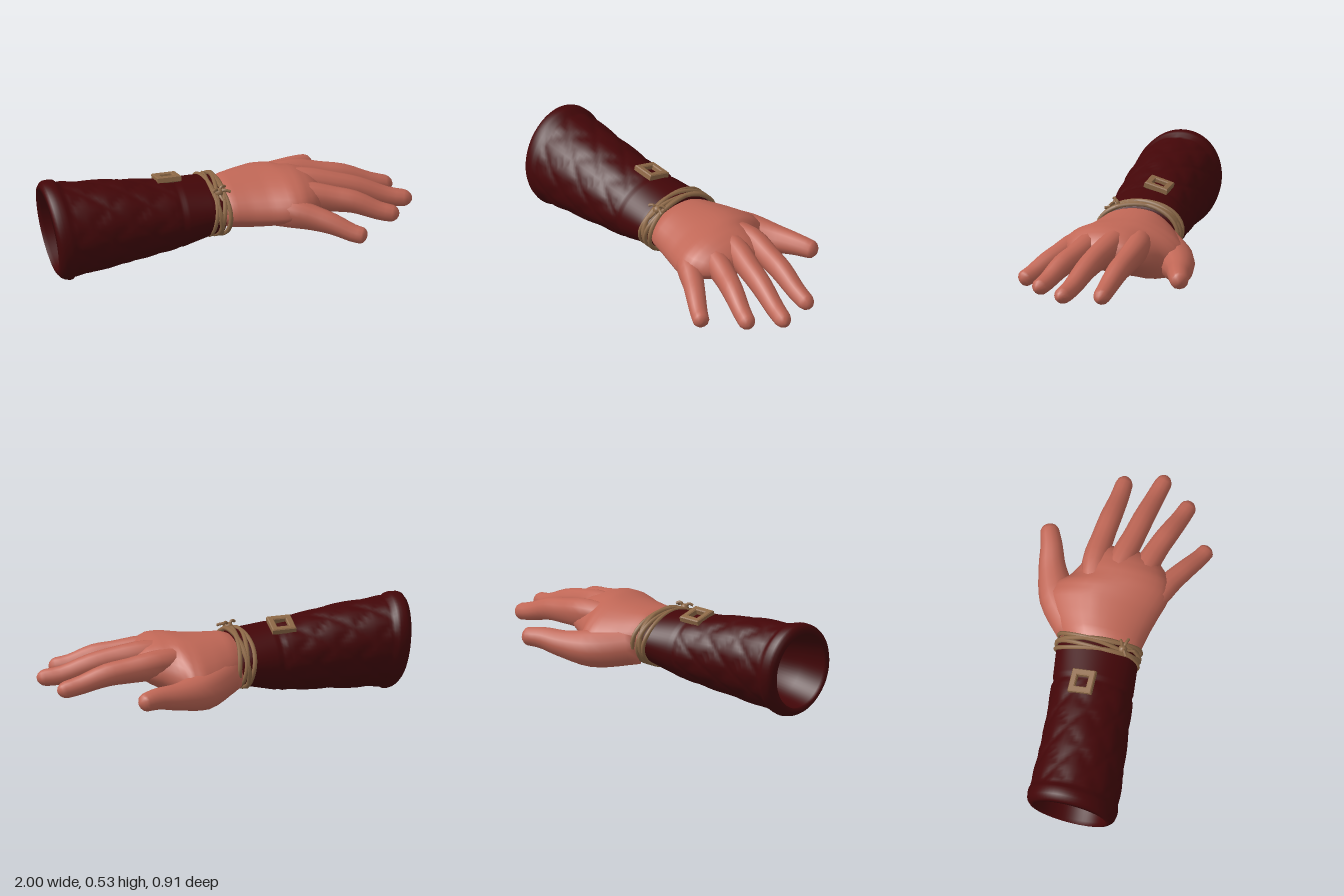
import * as THREE from 'three';

const TAU = Math.PI * 2;
const V = (x, y, z) => new THREE.Vector3(x, y, z);

// Skin rings of points into a closed, smooth surface
function loft(rings) {
  const n = rings[0].length, pos = [], idx = [];
  rings.forEach(r => r.forEach(p => pos.push(p.x, p.y, p.z)));
  for (let i = 0; i < rings.length - 1; i++) {
    for (let j = 0; j < n; j++) {
      const a = i * n + j, b = i * n + (j + 1) % n;
      idx.push(a, a + n, b, b, a + n, b + n);
    }
  }
  [0, rings.length - 1].forEach((ri, end) => {
    const c = V(0, 0, 0);
    rings[ri].forEach(p => c.addScaledVector(p, 1 / n));
    const ci = pos.length / 3;
    pos.push(c.x, c.y, c.z);
    for (let j = 0; j < n; j++) {
      const a = ri * n + j, b = ri * n + (j + 1) % n;
      idx.push(ci, end ? b : a, end ? a : b);
    }
  });
  const g = new THREE.BufferGeometry();
  g.setAttribute('position', new THREE.Float32BufferAttribute(pos, 3));
  g.setIndex(idx);
  g.computeVertexNormals();
  return g;
}

// Linear lookup in rows of [x, yMin, yMax, zMin, zMax]
function sample(rows, x) {
  let i = 0;
  while (i < rows.length - 2 && x > rows[i + 1][0]) i++;
  const a = rows[i], b = rows[i + 1];
  const t = THREE.MathUtils.clamp((x - a[0]) / (b[0] - a[0]), 0, 1);
  return a.map((v, k) => v + (b[k] - v) * t);
}

// Elliptical cross-section filling the given extents
function section([x, y0, y1, z0, z1], n, scale = () => 1) {
  return Array.from({ length: n }, (_, j) => {
    const t = j / n * TAU, k = scale(t);
    return V(x, (y0 + y1) / 2 + (y1 - y0) / 2 * Math.sin(t) * k,
      (z0 + z1) / 2 + (z1 - z0) / 2 * Math.cos(t) * k);
  });
}

// Tapered, round-tipped finger through points [x, y, z, radius], fleshier under its root
function fingerGeometry(pts, flesh) {
  const path = new THREE.CatmullRomCurve3(pts.map(p => V(p[0], p[1], p[2])));
  const radius = new THREE.CatmullRomCurve3(pts.map(p => V(p[3], 0, 0)));
  const us = [];
  for (let i = 0; i <= 14; i++) us.push(i / 14 * 0.93);
  us.push(0.96, 0.985, 0.998);
  return loft(us.map(u => {
    const c = path.getPoint(u), T = path.getTangent(u);
    const side = T.clone().cross(V(0, 1, 0)).normalize();
    const up = side.clone().cross(T);
    const tip = u > 0.92 ? Math.sqrt(1 - ((u - 0.92) / 0.08) ** 2) : 1;
    const r = radius.getPoint(u).x * tip;
    const under = 1 + flesh * Math.max(0, 0.75 - u);
    return Array.from({ length: 12 }, (_, j) => {
      const t = j / 12 * TAU, s = Math.sin(t);
      return c.clone().addScaledVector(side, Math.cos(t) * r).addScaledVector(up, s * r * (s < 0 ? under : 1));
    });
  }));
}

const SLEEVE = [
  [-0.97, 0.035, 0.505, -0.155, 0.275], [-0.95, 0.01, 0.53, -0.175, 0.295],
  [-0.9, 0, 0.532, -0.182, 0.302], [-0.88, 0.02, 0.512, -0.176, 0.296],
  [-0.75, 0.03, 0.50, -0.178, 0.288], [-0.6, 0.045, 0.488, -0.178, 0.272],
  [-0.4, 0.07, 0.458, -0.19, 0.25], [-0.27, 0.085, 0.445, -0.20, 0.235],
  [-0.1, 0.135, 0.43, -0.22, 0.22], [-0.04, 0.145, 0.42, -0.215, 0.212],
];

const PALM = [
  [-0.1, 0.2, 0.37, -0.16, 0.16], [-0.045, 0.165, 0.4, -0.195, 0.19],
  [0, 0.142, 0.42, -0.23, 0.215],
  [0.1, 0.125, 0.428, -0.30, 0.235], [0.2, 0.12, 0.435, -0.355, 0.262],
  [0.27, 0.127, 0.44, -0.33, 0.285], [0.32, 0.14, 0.44, -0.25, 0.295],
  [0.38, 0.165, 0.435, -0.21, 0.285], [0.44, 0.2, 0.415, -0.185, 0.245],
  [0.485, 0.235, 0.385, -0.165, 0.2], [0.51, 0.27, 0.355, -0.13, 0.15],
];

const FINGERS = {
  thumb: [[0.03, 0.25, -0.13, 0.11], [0.2, 0.222, -0.275, 0.104], [0.36, 0.23, -0.35, 0.073],
    [0.48, 0.245, -0.383, 0.058], [0.59, 0.242, -0.424, 0.046]],
  indexFinger: [[0.22, 0.345, -0.09, 0.06], [0.4, 0.35, -0.13, 0.067], [0.56, 0.326, -0.122, 0.06],
    [0.68, 0.305, -0.11, 0.058], [0.82, 0.255, -0.095, 0.05], [0.945, 0.225, -0.088, 0.044]],
  middleFinger: [[0.22, 0.35, -0.01, 0.06], [0.42, 0.362, 0, 0.067], [0.6, 0.335, 0.038, 0.06],
    [0.72, 0.305, 0.06, 0.057], [0.87, 0.25, 0.09, 0.05], [0.998, 0.233, 0.12, 0.044]],
  ringFinger: [[0.2, 0.34, 0.07, 0.06], [0.4, 0.342, 0.125, 0.067], [0.56, 0.318, 0.17, 0.06],
    [0.66, 0.3, 0.205, 0.057], [0.78, 0.25, 0.245, 0.049], [0.885, 0.228, 0.278, 0.044]],
  littleFinger: [[0.16, 0.3, 0.13, 0.06], [0.32, 0.3, 0.23, 0.066], [0.43, 0.275, 0.29, 0.058],
    [0.51, 0.25, 0.338, 0.053], [0.6, 0.21, 0.39, 0.047], [0.67, 0.195, 0.425, 0.043]],
};

function sleeveGeometry() {
  const N = 64, rings = [];
  // Hollow inside, from its back wall out to the rim
  for (const [x, f] of [[-0.6, 0.7], [-0.8, 0.78], [-0.95, 0.83], [-0.975, 0.9]]) {
    const row = sample(SLEEVE, x);
    row[0] = x;
    rings.push(section(row, N, () => f));
  }
  // Quilted outside between a plain hem and a plain wrist band
  for (let i = 0; i <= 62; i++) {
    const x = -0.97 + 0.93 * i / 62;
    const quilt = x > -0.88 && x < -0.28;
    rings.push(section(sample(SLEEVE, x), N, t => {
      if (!quilt) return x > -0.28 && x < -0.255 ? 0.98 : 1;
      const a = Math.abs(Math.sin(4 * t + x * 14)), b = Math.abs(Math.sin(4 * t - x * 14));
      return 0.972 + 0.043 * Math.sqrt(Math.min(a, b));
    }));
  }
  rings.push(section([-0.035, 0.18, 0.39, -0.18, 0.18], N));
  // Slant the open end so its top reaches further back, and lean it sideways
  rings.flat().forEach(p => {
    const w = THREE.MathUtils.clamp((-0.7 - p.x) / 0.25, 0, 1);
    const lean = THREE.MathUtils.clamp((-0.3 - p.x) / 0.6, 0, 1);
    p.x += w * (0.27 - p.y) * 0.13;
    p.z += lean * (0.27 - p.y) * 0.09;
  });
  return loft(rings);
}

function palmGeometry() {
  const rings = [];
  for (let i = 0; i <= 28; i++) {
    const row = sample(PALM, -0.1 + 0.61 * i / 28), mid = (row[1] + row[2]) / 2;
    const ring = section(row, 32);
    // Hollow the underside toward the little finger; drop the thumb side
    ring.forEach(p => {
      const under = THREE.MathUtils.clamp((mid - p.y) / 0.15, 0, 1);
      p.y += 0.14 * under * Math.max(0, p.z + 0.13) - 0.2 * Math.max(0, -0.1 - p.z);
    });
    rings.push(ring);
  }
  return loft(rings);
}

export function createModel() {
  const model = new THREE.Group();
  const material = (name, color) => new THREE.MeshStandardMaterial({ name, color });
  const cloth = material('dark red cloth', 0x430608);
  const skin = material('skin', 0xc06756);
  const cord = material('tan cord', 0x8e6947);
  const add = (name, geo, mat, parent = model) => {
    const m = new THREE.Mesh(geo, mat);
    m.name = name;
    parent.add(m);
    return m;
  };

  add('sleeve', sleeveGeometry(), cloth);

  // Hand
  const hand = new THREE.Group();
  hand.name = 'hand';
  model.add(hand);
  add('palm', palmGeometry(), skin, hand);
  for (const [name, pts] of Object.entries(FINGERS)) {
    add(name, fingerGeometry(pts, name === 'thumb' ? 0 : 0.9), skin, hand);
  }

  // Cords wound round the wrist
  const tie = new THREE.Group();
  tie.name = 'wristTie';
  model.add(tie);
  [-0.095, -0.078, -0.062, -0.046, -0.03].forEach((x, k) => {
    const pts = Array.from({ length: 20 }, (_, j) => {
      const t = j / 20 * TAU;
      return V(x + 0.014 * Math.sin(2 * t + k * 1.9), 0.283 + 0.145 * Math.sin(t), 0.222 * Math.cos(t) - 0.003);
    });
    add('cordLoop', new THREE.TubeGeometry(new THREE.CatmullRomCurve3(pts, true), 48, 0.012, 6, true), cord, tie);
  });

  // Knot with loose ends
  const knot = add('knot', new THREE.SphereGeometry(0.024, 10, 8), cord, tie);
  knot.position.set(-0.06, 0.408, 0.13);
  for (const [x, y, z] of [[-0.1, 0.425, 0.155], [0, 0.415, 0.15], [-0.02, 0.43, 0.11], [-0.05, 0.385, 0.19]]) {
    const path = new THREE.CatmullRomCurve3([V(-0.06, 0.41, 0.13), V((x - 0.06) / 2, y + 0.008, (z + 0.13) / 2), V(x, y, z)]);
    add('cordEnd', new THREE.TubeGeometry(path, 8, 0.008, 6), cord, tie);
  }

  // Square buckle on top of the sleeve
  const square = (s, Path) => new Path([[-s, -s], [s, -s], [s, s], [-s, s]].map(p => new THREE.Vector2(...p)));
  const frame = square(0.06, THREE.Shape);
  frame.holes.push(square(0.037, THREE.Path));
  const buckleGeo = new THREE.ExtrudeGeometry(frame, {
    depth: 0.024, bevelEnabled: true, bevelSize: 0.005, bevelThickness: 0.005, bevelSegments: 1,
  });
  buckleGeo.rotateX(-Math.PI / 2);
  const buckle = add('buckle', buckleGeo, cord);
  buckle.position.set(-0.302, 0.439, -0.028);
  buckle.rotation.x = -0.26;

  return model;
}
